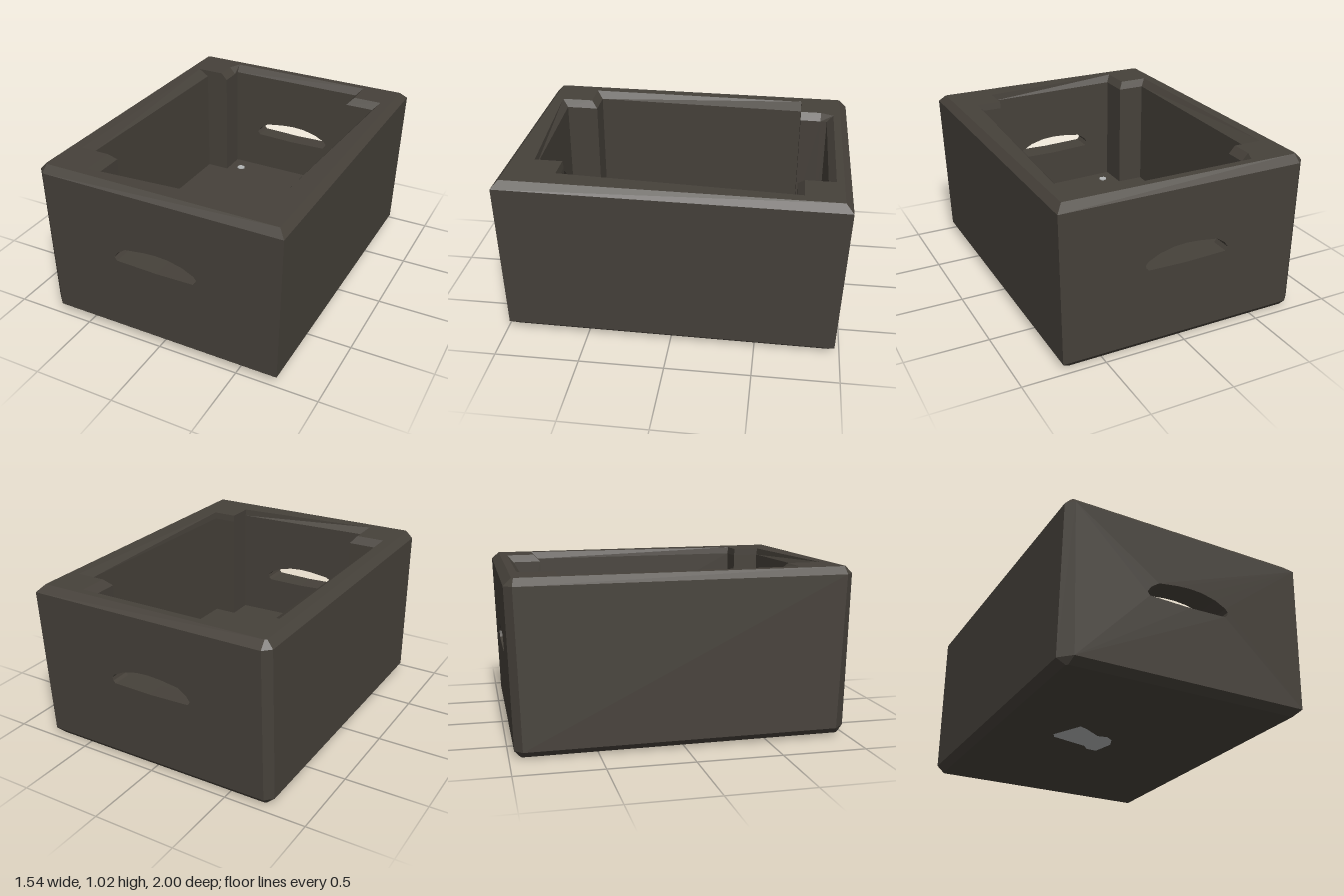
import * as THREE from 'three';
import { mergeGeometries } from 'three/addons/utils/BufferGeometryUtils.js';

const V = (x, y, z) => new THREE.Vector3(x, y, z);
const FLOOR = 0.26, LOW = 0.05, LIP = 0.965, TOP = 1.008, BASE = 0.01;

// Flat-shaded geometry from a list of triangle corners
function fromPoints(points) {
  const g = new THREE.BufferGeometry().setFromPoints(points);
  g.computeVertexNormals();
  return g;
}

// Quads joining two closed rings, leaving out the listed segments
function strip(a, b, skip = []) {
  const pts = [];
  a.forEach((p, i) => {
    if (skip.includes(i)) return;
    const j = (i + 1) % a.length;
    pts.push(p, a[j], b[j], p, b[j], b[i]);
  });
  return fromPoints(pts);
}

// Flat outline with an optional hole, placed by a mapping of its 2D points
function panel(outline, hole, map, flip = false) {
  const toV2 = list => list.map(([x, y]) => new THREE.Vector2(x, y));
  const shape = new THREE.Shape(toV2(outline));
  if (hole) shape.holes.push(new THREE.Path(toV2(hole)));
  const g = new THREE.ShapeGeometry(shape).toNonIndexed(), p = g.attributes.position, pts = [];
  for (let i = 0; i < p.count; i += 3)
    for (const k of flip ? [0, 2, 1] : [0, 1, 2]) pts.push(map(p.getX(i + k), p.getY(i + k)));
  return fromPoints(pts);
}

// Outer ring: sharp right corners, clipped left corners
function outerRing(y, xL, xR, zB, zF, cB, cF = cB) {
  return [[xR, zF], [xR, zB], [xL + cB, zB], [xL, zB + cB], [xL, zF - cF], [xL + cF, zF]]
    .map(([x, z]) => V(x, y, z));
}

// Mapping of x, y onto the plane through three points
function onPlane(a, b, c) {
  const n = b.clone().sub(a).cross(c.clone().sub(a));
  return (x, y) => V(x, y, a.z - (n.x * (x - a.x) + n.y * (y - a.y)) / n.z);
}

// The slightly crooked stance of the crate
function lean(g) {
  const p = g.attributes.position;
  for (let i = 0; i < p.count; i++) p.setY(i, p.getY(i) - 0.004 * p.getX(i) + 0.0075 * p.getZ(i));
  g.computeVertexNormals();
  return g;
}

export function createModel() {
  const group = new THREE.Group();
  const darkShell = new THREE.MeshStandardMaterial({ color: 0x46413a });
  const paleGrey = new THREE.MeshStandardMaterial({ color: 0xb2b4b4 });
  const add = (name, parts, mat) => {
    const clean = parts.map(g => {
      const n = g.index ? g.toNonIndexed() : g;
      n.deleteAttribute('uv');
      return n;
    });
    const mesh = new THREE.Mesh(lean(mergeGeometries(clean)), mat);
    mesh.name = name;
    group.add(mesh);
  };

  // Outer rings from the base up to the rim
  const base = outerRing(BASE, -0.73, 0.70, -0.935, 0.945, 0.01);
  const low = outerRing(LOW, -0.775, 0.745, -0.97, 0.985, 0.045, 0.07);
  const high = outerRing(LIP, -0.765, 0.77, -1, 1, 0.045);
  const rim = outerRing(TOP, -0.725, 0.73, -0.955, 0.96, 0.01);

  // Cavity outline with a square post in each corner, and its wider lip at the rim
  const cavity = [[0.45, 0.825], [0.45, 0.66], [0.60, 0.66], [0.63, -0.695], [0.45, -0.695], [0.45, -0.87],
    [-0.445, -0.87], [-0.445, -0.70], [-0.595, -0.70], [-0.62, 0.66], [-0.445, 0.66], [-0.445, 0.86]];
  const cavityLip = [[0.45, 0.83], [0.45, 0.665], [0.605, 0.665], [0.67, -0.735], [0.49, -0.735], [0.49, -0.91],
    [-0.45, -0.91], [-0.485, -0.83], [-0.485, -0.70], [-0.66, -0.70], [-0.66, 0.70], [-0.48, 0.70], [-0.48, 0.90]];
  // The back left post has a clipped corner at the lip only
  const cavityUpper = [...cavity.slice(0, 7), [-0.445, -0.83], ...cavity.slice(7)];
  const atHeight = (list, y) => list.map(([x, z]) => V(x, y, z));
  const inLow = atHeight(cavityUpper, FLOOR), inHigh = atHeight(cavityUpper, LIP), inTop = atHeight(cavityLip, TOP);

  // Hand hole outline
  const handle = [[-0.26, 0.513], [0, 0.505], [0.235, 0.51], [0.25, 0.525], [0.255, 0.545], [0.24, 0.565], [0.17, 0.6],
    [0.08, 0.622], [0, 0.627], [-0.08, 0.622], [-0.2, 0.605], [-0.25, 0.57], [-0.275, 0.535]];

  // Long walls, clipped corners and chamfers
  add('outerWalls', [strip(base, low), strip(low, high, [1, 5]), strip(high, rim)], darkShell);
  add('cavityWalls', [strip(inTop, inHigh), strip(inHigh, inLow, [5, 12])], darkShell);

  // Horizontal faces
  const flat = ring => ring.map(p => [p.x, -p.z]);
  const level = y => (x, v) => V(x, y, -v);
  add('rim', [panel(flat(rim), flat(inTop), level(TOP))], darkShell);
  add('floor', [panel(flat(inLow), null, level(FLOOR))], darkShell);
  add('underside', [panel(flat(base), null, level(BASE), true)], darkShell);

  // End walls with a hand hole cut through
  for (const [name, o, i, back] of [['frontWall', [5, 0], [12, 0], false], ['backWall', [2, 1], [6, 5], true]]) {
    const outline = (a, b, [l, r]) => [a[l], a[r], b[r], b[l]].map(p => [p.x, p.y]);
    const outMap = onPlane(low[o[0]], low[o[1]], high[o[0]]);
    const inMap = onPlane(inLow[i[0]], inLow[i[1]], inHigh[i[0]]);
    const outHole = handle.map(p => outMap(...p)), inHole = handle.map(p => inMap(...p));
    add(name, [
      panel(outline(low, high, o), handle, outMap, back),
      panel(outline(inLow, inHigh, i), handle, inMap, !back),
      back ? strip(inHole, outHole) : strip(outHole, inHole),
    ], darkShell);
  }

  // Small studs on the cavity floor
  add('floorStuds', [[-0.36, -0.76], [0.535, 0.02], [-0.355, 0.755]].map(([x, z]) =>
    new THREE.CylinderGeometry(0.027, 0.027, 0.008, 8).translate(x, FLOOR + 0.003, z)), paleGrey);

  // Irregular pale patch under the base
  const patch = [[-0.034, 0.145], [-0.004, 0.076], [-0.033, -0.059], [-0.098, -0.057], [-0.139, -0.017], [-0.365, 0.032],
    [-0.385, 0.069], [-0.299, 0.256], [-0.241, 0.231], [-0.14, 0.166], [-0.08, 0.179]];
  add('undersidePatch', [panel(patch.map(([x, z]) => [x, -z]), null, level(BASE - 0.004), true)], paleGrey);

  return group;
}
